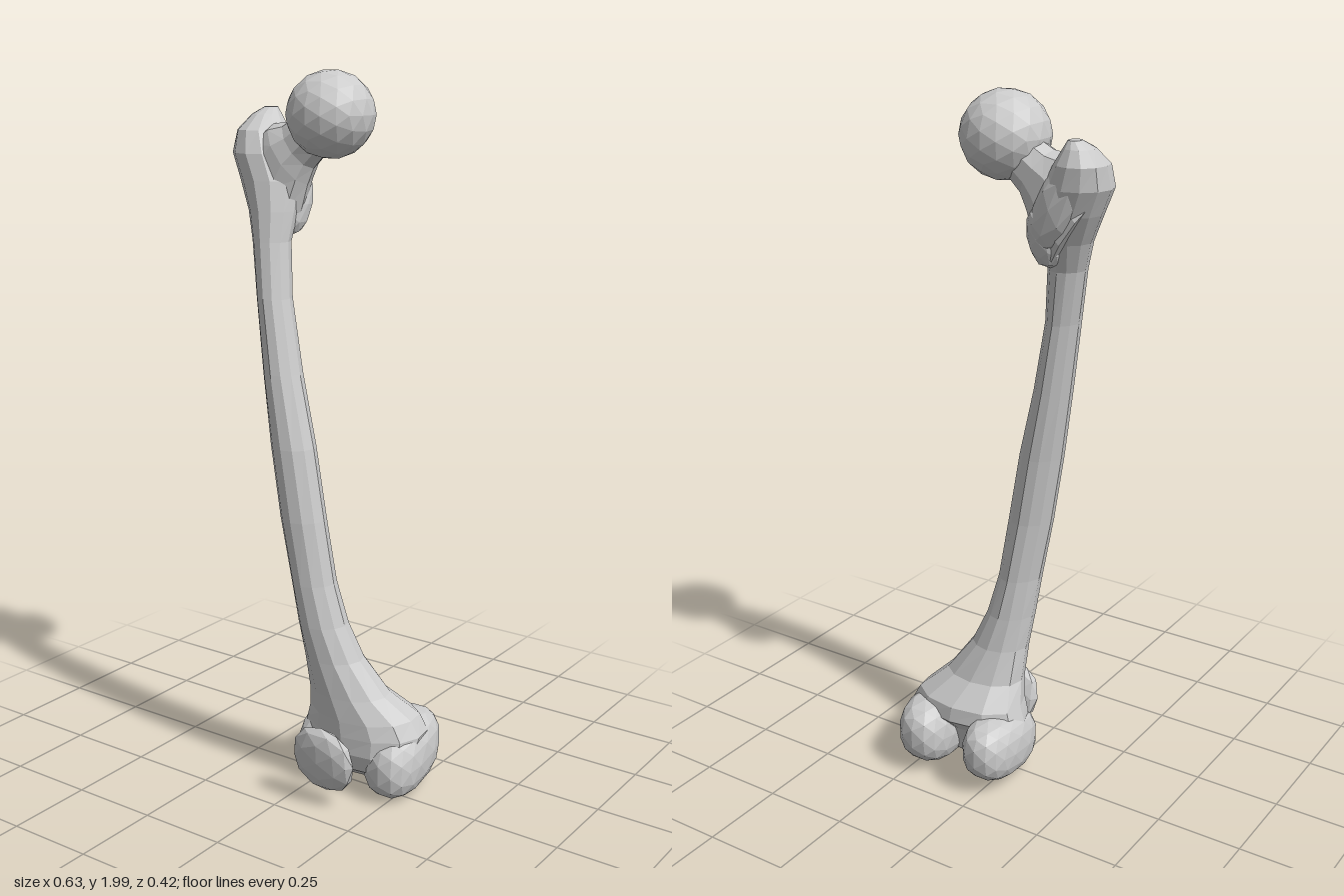
import * as THREE from 'three';

const material = new THREE.MeshStandardMaterial({ color: 0xcccccc, flatShading: true, side: THREE.DoubleSide });

function part(name, geometry, parent) {
  const mesh = new THREE.Mesh(geometry, material);
  mesh.name = name;
  parent.add(mesh);
  return mesh;
}

// Closed skin over oval sections [y, xMin, xMax, zMin, zMax, pinch]; pinch narrows the back half
function loft(sections, sides) {
  const pos = [], index = [];
  for (const [y, x0, x1, z0, z1, pinch = 0] of sections) {
    for (let i = 0; i < sides; i++) {
      const a = (i / sides) * Math.PI * 2;
      const squeeze = 1 - pinch * Math.max(0, -Math.sin(a));
      pos.push((x0 + x1) / 2 + (x1 - x0) / 2 * Math.cos(a) * squeeze, y, (z0 + z1) / 2 + (z1 - z0) / 2 * Math.sin(a));
    }
  }
  for (let r = 0; r < sections.length - 1; r++) {
    for (let i = 0; i < sides; i++) {
      const a = r * sides + i, b = r * sides + (i + 1) % sides;
      index.push(a, a + sides, b, b, a + sides, b + sides);
    }
  }
  const top = (sections.length - 1) * sides;
  for (let i = 1; i < sides - 1; i++) {
    index.push(0, i, i + 1, top, top + i + 1, top + i);
  }
  const geometry = new THREE.BufferGeometry();
  geometry.setAttribute('position', new THREE.Float32BufferAttribute(pos, 3));
  geometry.setIndex(index);
  geometry.computeVertexNormals();
  return geometry;
}

// Faceted ellipsoid; power below 1 makes it boxier, shear(y, z) returns an offset
function blob(center, radii, power, detail, shear = () => [0, 0, 0]) {
  const geometry = new THREE.IcosahedronGeometry(1, detail);
  const p = geometry.attributes.position;
  const bend = (c) => Math.sign(c) * Math.abs(c) ** power;
  for (let i = 0; i < p.count; i++) {
    const x = bend(p.getX(i)) * radii[0], y = bend(p.getY(i)) * radii[1], z = bend(p.getZ(i)) * radii[2];
    const [dx, dy, dz] = shear(y, z);
    p.setXYZ(i, x + dx + center[0], y + dy + center[1], z + dz + center[2]);
  }
  geometry.computeVertexNormals();
  return geometry;
}

export function createModel() {
  const model = new THREE.Group();
  model.name = 'thighBoneAndKneecap';
  const bone = new THREE.Group();
  bone.name = 'thighBone';
  model.add(bone);

  // Bowed shaft, flaring to the knee below and the greater trochanter above
  part('shaft', loft([
    [0.05, 0.03, 0.2, -0.06, 0.03],
    [0.09, -0.03, 0.28, -0.07, 0.085],
    [0.14, -0.055, 0.3, -0.09, 0.1],
    [0.19, -0.06, 0.305, -0.14, 0.102, -0.2],
    [0.235, -0.045, 0.28, -0.135, 0.103, -0.2],
    [0.3, -0.028, 0.212, -0.075, 0.106, -0.1],
    [0.4, -0.03, 0.142, -0.04, 0.113],
    [0.5, -0.042, 0.1, -0.022, 0.123, 0.1],
    [0.62, -0.058, 0.07, -0.008, 0.13, 0.2],
    [0.8, -0.09, 0.043, 0.003, 0.136, 0.2],
    [1.0, -0.122, 0.008, 0.004, 0.134, 0.2],
    [1.2, -0.152, -0.043, 0, 0.122, 0.2],
    [1.4, -0.182, -0.085, -0.007, 0.105, 0.2],
    [1.55, -0.21, -0.103, -0.025, 0.085, 0.1],
    [1.63, -0.237, -0.1, -0.06, 0.075],
    [1.71, -0.28, -0.1, -0.1, 0.066],
    [1.78, -0.313, -0.13, -0.118, 0.06],
    [1.84, -0.308, -0.17, -0.122, 0.035],
    [1.88, -0.28, -0.2, -0.105, -0.015],
    [1.9, -0.25, -0.215, -0.09, -0.05],
  ], 12), bone);

  // Neck, leaning up and inward from a broad root to the head
  const neck = part('neck', loft([
    [-0.06, -0.08, 0.17, -0.065, 0.07],
    [0.01, -0.095, 0.155, -0.072, 0.077],
    [0.075, -0.09, 0.105, -0.068, 0.07],
    [0.115, -0.068, 0.08, -0.062, 0.058],
    [0.155, -0.063, 0.072, -0.062, 0.055],
    [0.22, -0.075, 0.075, -0.068, 0.062],
  ], 10), bone);
  neck.position.set(-0.2, 1.74, -0.025);
  neck.rotation.z = -0.945;

  part('head', blob([0, 1.886, -0.022], [0.12, 0.116, 0.12], 1, 2), bone);

  // Ridge at the back below the neck, ending in a small bump
  part('trochantericCrest', blob([-0.185, 1.73, -0.065], [0.065, 0.12, 0.052], 0.85, 1,
    (y) => [-0.4 * y, 0, -0.05 * y]), bone);
  part('lesserTrochanter', blob([-0.138, 1.645, -0.05], [0.044, 0.085, 0.048], 0.85, 1,
    (y) => [0, 0, -0.3 * y]), bone);

  // Two rounded runners of the knee joint, rising towards the back
  for (const [name, x, y, width, height, splay] of [
    ['innerCondyle', 0.226, 0.116, 0.088, 0.106, 0.1],
    ['outerCondyle', 0, 0.122, 0.081, 0.1, 0.06],
  ]) {
    part(name, blob([x, y, -0.057], [width, height, 0.152], 0.8, 2,
      (py, pz) => [splay * pz, -0.12 * pz, 0]), bone);
  }

  // Kneecap floating in front, tilted so that its lower tip points back
  part('kneecap', blob([0.112, 0.148, 0.171], [0.1, 0.1, 0.036], 0.95, 1,
    (y) => [0, 0, 0.15 * y]), model);

  return model;
}
